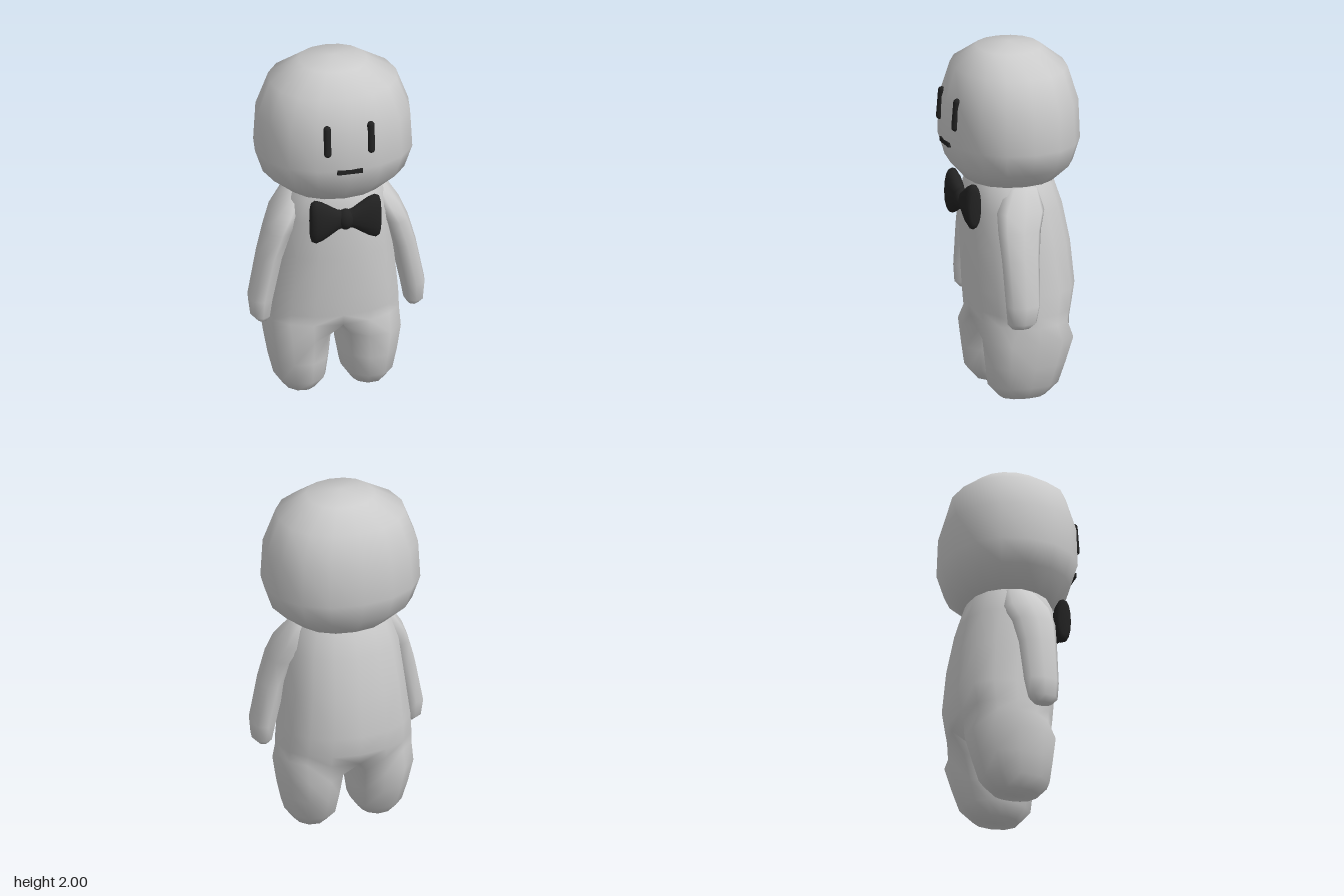
import * as THREE from 'three';
import { mergeGeometries, mergeVertices } from 'three/addons/utils/BufferGeometryUtils.js';

// Superellipse: slightly fuller than an ellipse when power is below 1
const bulge = (v, power) => Math.sign(v) * Math.abs(v) ** power;

function ring(y, x0, x1, z0, z1, angles, power = 0.92) {
  return angles.map((a) => [
    (x0 + x1) / 2 + ((x1 - x0) / 2) * bulge(Math.cos(a), power),
    y,
    (z0 + z1) / 2 + ((z1 - z0) / 2) * bulge(Math.sin(a), power),
  ]);
}

const circle = (n) => Array.from({ length: n }, (_, i) => (i / n) * Math.PI * 2);

// Skin over closed rings from top to bottom, with optional cap centres
function loft(rings, { top, bottom, skip = () => false } = {}) {
  const n = rings[0].length;
  const points = rings.flat();
  const index = [];
  for (let i = 0; i < rings.length - 1; i++) {
    for (let j = 0; j < n; j++) {
      if (skip(i, j)) continue;
      const a = i * n + j, b = i * n + ((j + 1) % n);
      index.push(a, b, a + n, b, b + n, a + n);
    }
  }
  const last = (rings.length - 1) * n;
  if (top) {
    points.push(top);
    for (let j = 0; j < n; j++) index.push(points.length - 1, (j + 1) % n, j);
  }
  if (bottom) {
    points.push(bottom);
    for (let j = 0; j < n; j++) index.push(points.length - 1, last + j, last + ((j + 1) % n));
  }
  const geo = new THREE.BufferGeometry();
  geo.setAttribute('position', new THREE.Float32BufferAttribute(points.flat(), 3));
  geo.setIndex(index);
  geo.computeVertexNormals();
  return geo;
}

// Reflect across x = 0 and restore the winding
function mirror(geo) {
  const out = geo.clone().scale(-1, 1, 1);
  const idx = out.index.array;
  for (let i = 0; i < idx.length; i += 3) [idx[i], idx[i + 1]] = [idx[i + 1], idx[i]];
  out.computeVertexNormals();
  return out;
}

function headGeometry() {
  // y, half width, half depth
  const rows = [
    [1.975, 0.19, 0.18], [1.87, 0.36, 0.315], [1.68, 0.432, 0.372], [1.46, 0.445, 0.38],
    [1.33, 0.4, 0.34], [1.23, 0.27, 0.25],
  ];
  return loft(rows.map(([y, w, d]) => ring(y, -w, w, -d, d, circle(16))), {
    top: [0, 2, 0], bottom: [0, 1.2, 0],
  });
}

function bodyGeometry() {
  // One half: 9 outer points from back to front, then 3 inner points
  const outer = Array.from({ length: 9 }, (_, j) => (j / 8 - 0.5) * Math.PI);
  // y, half width, back, front
  const torso = [
    [1.27, 0.24, -0.21, 0.21], [1.2, 0.28, -0.245, 0.245], [1.08, 0.32, -0.285, 0.262],
    [0.86, 0.345, -0.33, 0.26], [0.62, 0.375, -0.352, 0.245], [0.5, 0.386, -0.33, 0.233],
    [0.44, 0.388, -0.318, 0.226],
  ].map(([y, w, z0, z1]) => [
    ...ring(y, -w, w, z0, z1, outer),
    ...[0.25, 0.5, 0.75].map((t) => [0, y, z1 + (z0 - z1) * t]),
  ]);
  const legAngles = Array.from({ length: 12 }, (_, j) =>
    THREE.MathUtils.degToRad(j <= 8 ? -135 + j * 33.75 : 135 + (j - 8) * 22.5));
  // y, inner, outer, back, front
  const leg = [
    [0.34, 0.014, 0.39, -0.298, 0.216], [0.2, 0.03, 0.366, -0.255, 0.2],
    [0.08, 0.05, 0.336, -0.215, 0.185], [0.01, 0.1, 0.285, -0.14, 0.12],
  ].map(([y, x0, x1, z0, z1]) => ring(y, x0, x1, z0, z1, legAngles));
  const half = loft([...torso, ...leg], {
    bottom: [0.19, 0, -0.01],
    skip: (i, j) => i < torso.length - 1 && j >= 8,
  });
  const both = mergeGeometries([half, mirror(half)]);
  both.deleteAttribute('normal');
  const body = mergeVertices(both, 1e-4);
  body.computeVertexNormals();
  return body;
}

function armGeometry() {
  // y, centre x, half width, centre z, half depth
  const rows = [
    [1.22, 0.23, 0.06, 0.0, 0.09], [1.1, 0.285, 0.085, 0.03, 0.14], [1.0, 0.335, 0.077, 0.055, 0.125],
    [0.85, 0.383, 0.072, 0.065, 0.11], [0.6, 0.435, 0.07, 0.07, 0.1], [0.5, 0.438, 0.055, 0.077, 0.085],
    [0.468, 0.432, 0.03, 0.08, 0.05],
  ];
  return loft(rows.map(([y, x, w, z, d]) => ring(y, x - w, x + w, z - d, z + d, circle(8), 0.9)), {
    top: [0.22, 1.24, 0], bottom: [0.43, 0.46, 0.08],
  });
}

function bowGeometry() {
  // Lofted along y, then laid on its side: position, half height, half depth
  const side = [[0.2, 0.095, 0.025], [0.192, 0.12, 0.04], [0.17, 0.131, 0.048], [0.135, 0.118, 0.05],
    [0.09, 0.09, 0.045], [0.045, 0.06, 0.038], [0.02, 0.052, 0.034]];
  const rows = [...side, ...side.map(([p, h, d]) => [-p, h, d]).reverse()];
  return loft(rows.map(([p, h, d]) => ring(p, -h, h, -d, d, circle(16))), {
    top: [0, 0.2, 0], bottom: [0, -0.2, 0],
  }).rotateZ(-Math.PI / 2);
}

export function createModel() {
  const model = new THREE.Group();
  const grey = new THREE.MeshStandardMaterial({ color: 0xcccccc });
  const dark = new THREE.MeshStandardMaterial({ color: 0x222222 });
  const add = (name, geo, material, x = 0, y = 0, z = 0) => {
    const mesh = new THREE.Mesh(geo, material);
    mesh.name = name;
    mesh.position.set(x, y, z);
    model.add(mesh);
    return mesh;
  };

  add('head', headGeometry(), grey);
  add('body', bodyGeometry(), grey);
  const arm = armGeometry();
  add('leftArm', arm, grey);
  add('rightArm', mirror(arm), grey);

  // Face
  const eye = new THREE.CapsuleGeometry(0.021, 0.145, 5, 12);
  for (const s of [1, -1]) {
    add(s > 0 ? 'leftEye' : 'rightEye', eye, dark, s * 0.125, 1.642, 0.354).rotation.x = -0.08;
  }
  add('mouth', new THREE.BoxGeometry(0.145, 0.026, 0.02), dark, 0, 1.453, 0.37);

  // Bow tie
  add('bowTie', bowGeometry(), dark, 0, 1.115, 0.27);
  const knot = add('bowKnot', new THREE.SphereGeometry(1, 16, 10), dark, 0, 1.115, 0.275);
  knot.scale.set(0.048, 0.062, 0.045);

  return model;
}
